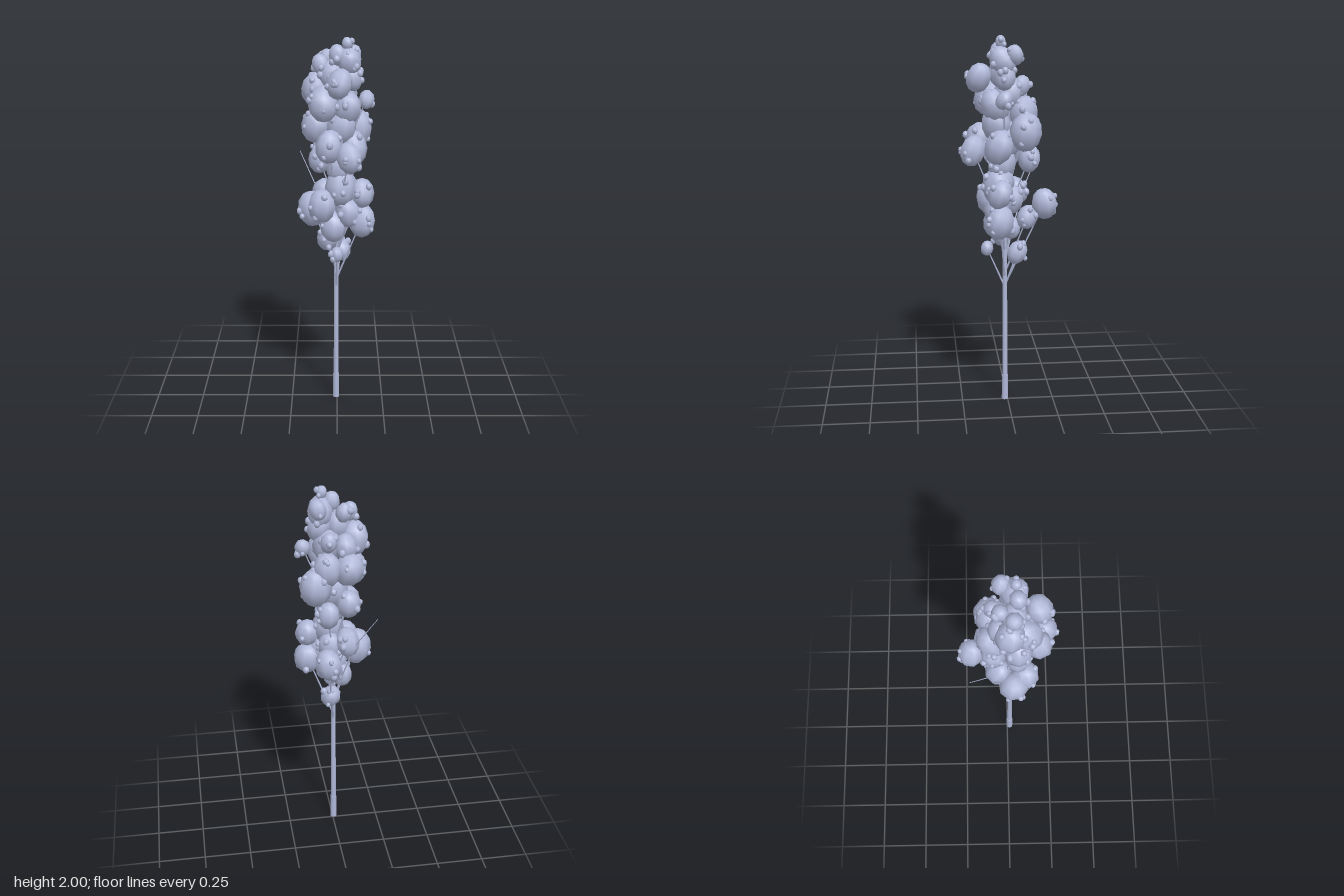
import * as THREE from 'three';

const lilac = new THREE.MeshStandardMaterial({ color: 0xb0b8d8 });
lilac.name = 'pale lilac';

// Foliage clumps: x, y, z, radius
const lower = [
  [0.0, 0.87, 0.11, 0.034], [0.02, 0.85, -0.05, 0.055], [-0.05, 0.94, 0.03, 0.06],
  [-0.02, 1.01, 0.06, 0.07], [0.13, 1.04, 0.05, 0.075], [0.05, 1.05, -0.1, 0.055],
  [-0.13, 1.1, 0.03, 0.08], [-0.08, 1.13, 0.09, 0.075], [0.05, 1.12, -0.19, 0.07],
  [0.13, 1.19, 0.05, 0.065], [0.02, 1.22, 0.05, 0.085], [-0.07, 1.17, -0.05, 0.065],
  [0.06, 1.09, 0.06, 0.07], [0.02, 1.14, -0.02, 0.065], [0.0, 0.98, -0.02, 0.05],
];
const middle = [
  [-0.09, 1.37, 0.05, 0.06], [0.04, 1.36, -0.11, 0.06], [0.01, 1.33, 0.03, 0.075],
  [0.06, 1.41, 0.185, 0.068], [-0.04, 1.46, 0.15, 0.072], [0.08, 1.43, 0.05, 0.078],
  [0.1, 1.51, -0.085, 0.085], [-0.07, 1.4, -0.07, 0.065], [-0.11, 1.55, 0.05, 0.075],
  [0.02, 1.54, 0.06, 0.08], [0.04, 1.6, -0.08, 0.075], [-0.07, 1.59, -0.07, 0.08],
  [0.0, 1.46, 0.0, 0.08],
];
const upper = [
  [-0.07, 1.67, 0.09, 0.08], [0.05, 1.64, 0.07, 0.075], [0.15, 1.68, 0.03, 0.042],
  [-0.11, 1.73, 0.01, 0.075], [0.03, 1.74, -0.07, 0.045], [0.01, 1.78, 0.15, 0.066],
  [0.03, 1.7, 0.0, 0.075], [0.07, 1.79, 0.02, 0.06], [-0.03, 1.8, 0.03, 0.068],
  [0.06, 1.87, 0.03, 0.067], [-0.085, 1.86, 0.03, 0.045], [0.08, 1.9, -0.03, 0.045],
  [-0.05, 1.88, -0.035, 0.042], [0.0, 1.91, 0.05, 0.045], [0.05, 1.965, 0.04, 0.028],
  [-0.06, 1.7, -0.04, 0.06],
];

let seed = 17;
const rand = () => (seed = (seed * 16807) % 2147483647) / 2147483647;

const ballGeometry = new THREE.SphereGeometry(1, 8, 6);
const budGeometry = new THREE.SphereGeometry(1, 7, 5);

function addBall(parent, geometry, name, center, r, stretch) {
  const ball = new THREE.Mesh(geometry, lilac);
  ball.name = name;
  ball.position.copy(center);
  ball.scale.set(r, r * stretch, r);
  ball.rotation.set((rand() - 0.5) * 0.7, rand() * 6.28, (rand() - 0.5) * 0.7);
  parent.add(ball);
}

// Tapered stick between two points
function addStick(parent, name, from, to, r0, r1, sides) {
  const dir = to.clone().sub(from);
  const stick = new THREE.Mesh(new THREE.CylinderGeometry(r1, r0, dir.length(), sides), lilac);
  stick.name = name;
  stick.position.copy(from).addScaledVector(dir, 0.5);
  stick.quaternion.setFromUnitVectors(new THREE.Vector3(0, 1, 0), dir.normalize());
  parent.add(stick);
}

const trunkX = -0.005, trunkZ = 0.014;
const onTrunk = (y) => new THREE.Vector3(trunkX, y, trunkZ);

export function createModel() {
  const tree = new THREE.Group();
  tree.name = 'tree';

  // Trunk with a thicker foot
  addStick(tree, 'trunkFoot', onTrunk(0), onTrunk(0.14), 0.018, 0.017, 10);
  addStick(tree, 'trunk', onTrunk(0.14), onTrunk(0.85), 0.0145, 0.012, 10);
  addStick(tree, 'trunkTop', onTrunk(0.85), onTrunk(1.88), 0.012, 0.003, 8);

  // Clumps, each carried by a thin branch and dotted with buds
  const crowns = { lowerCrown: lower, middleCrown: middle, upperCrown: upper };
  for (const [name, clumps] of Object.entries(crowns)) {
    const crown = new THREE.Group();
    crown.name = name;
    for (const [x, y, z, r] of clumps) {
      const center = new THREE.Vector3(x, y, z);
      const reach = Math.hypot(x - trunkX, z - trunkZ);
      const start = Math.max(0.65, y - 0.12 - reach * 1.6);
      addStick(crown, 'branch', onTrunk(start), center, 0.006, 0.003, 5);
      addBall(crown, ballGeometry, 'clump', center, r, 1.22);
      const buds = r > 0.05 ? 4 : 2;
      for (let i = 0; i < buds; i++) {
        // Buds lean to the outer side of the clump
        const angle = Math.atan2(z - trunkZ, x - trunkX) + (rand() - 0.5) * 3.6;
        const lift = (rand() - 0.45) * 1.7;
        const flat = Math.cos(lift);
        const bud = new THREE.Vector3(flat * Math.cos(angle), Math.sin(lift) * 1.15, flat * Math.sin(angle));
        bud.multiplyScalar(r * 0.95).add(center);
        bud.y = Math.min(bud.y, 1.98);
        addBall(crown, budGeometry, 'bud', bud, 0.012 + rand() * 0.007, 1.15);
      }
    }
    tree.add(crown);
  }

  // Bare twig at the back
  const fork = new THREE.Vector3(-0.1, 1.16, -0.09);
  addStick(tree, 'bareBranch', onTrunk(0.8), fork, 0.005, 0.003, 5);
  addStick(tree, 'bareTwig', fork, new THREE.Vector3(-0.2, 1.36, -0.19), 0.003, 0.002, 5);

  return tree;
}
